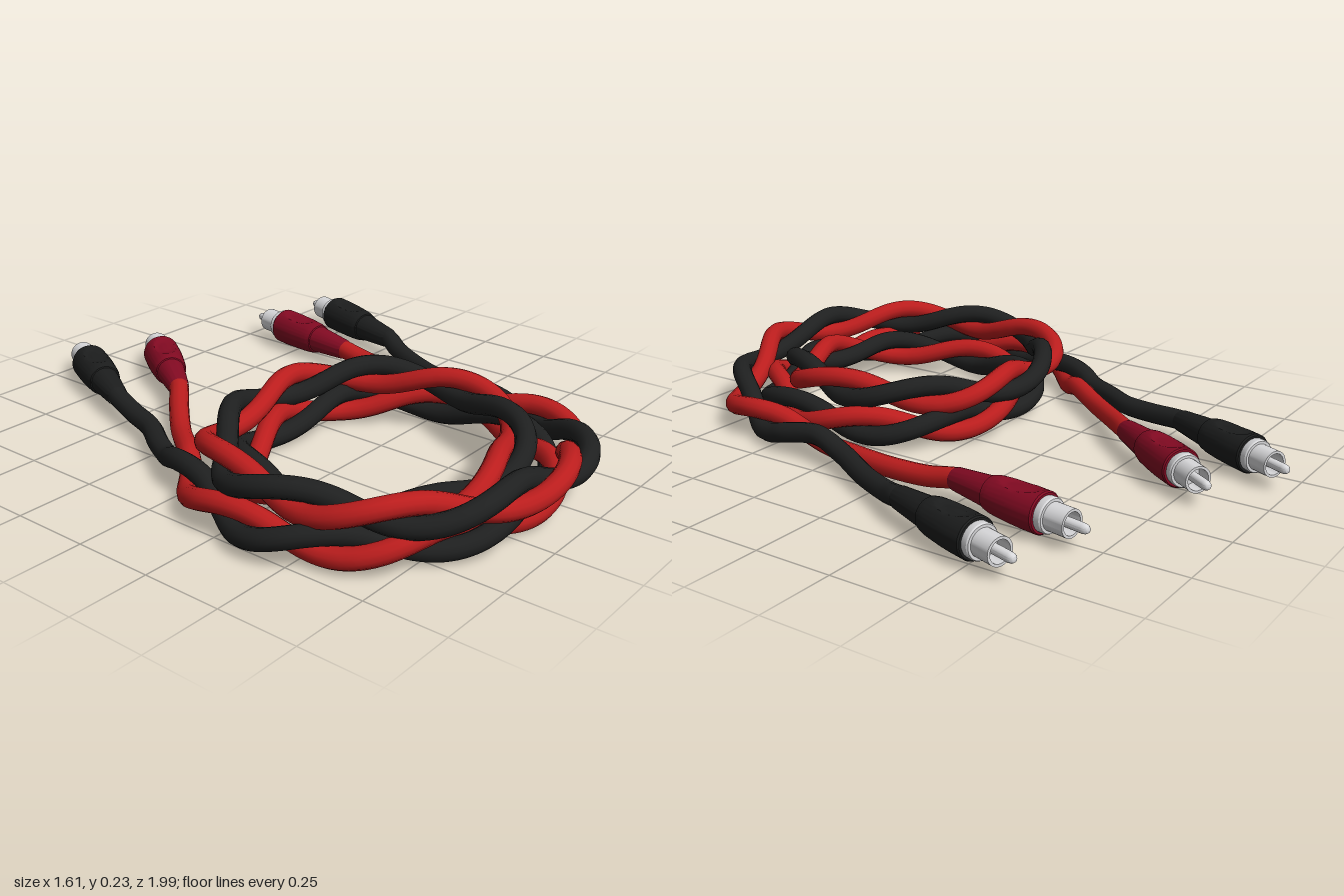
import * as THREE from 'three';
import { toCreasedNormals } from 'three/addons/utils/BufferGeometryUtils.js';

const V = (x, y, z) => new THREE.Vector3(x, y, z);
const material = (name, color) => {
  const m = new THREE.MeshStandardMaterial({ color });
  m.name = name;
  return m;
};

const LOW = 0.06, HIGH = 0.155;       // heights of the two coil layers
const WIRE = 0.032, TWIST = 0.031;    // wire radius and helix radius
const TURNS = 13;

// Centre line of the twisted pair: [x, y, z]
const COIL = [
  [0.395, 0.055, 0.42], [0.37, LOW, 0.6], [0.27, 0.075, 0.76], [0.07, 0.12, 0.88],
  [-0.16, HIGH, 0.93], [-0.42, HIGH, 0.875], [-0.61, HIGH, 0.71], [-0.69, HIGH, 0.45],
  [-0.66, HIGH, 0.22], [-0.53, HIGH, 0.06], [-0.36, HIGH, -0.01], [-0.16, HIGH, -0.035],
  [0.05, HIGH, 0.025], [0.17, HIGH, 0.18], [0.205, HIGH, 0.38], [0.15, 0.15, 0.58],
  [0.02, 0.135, 0.71], [-0.18, 0.11, 0.755], [-0.4, 0.085, 0.7], [-0.53, 0.065, 0.54],
  [-0.565, LOW, 0.36], [-0.5, LOW, 0.16], [-0.37, LOW, 0.04], [-0.16, LOW, 0],
  [0.07, LOW, 0.04], [0.21, LOW, 0.17], [0.27, LOW, 0.38], [0.22, LOW, 0.6],
  [0.07, LOW, 0.79], [-0.16, LOW, 0.87], [-0.42, LOW, 0.82], [-0.63, LOW, 0.67],
  [-0.735, LOW, 0.44], [-0.71, LOW, 0.22], [-0.63, 0.055, 0.05], [-0.53, 0.05, -0.1],
];

// Per wire: loose tails at both ends, and each plug's joint and tip in x, z
const WIRES = [
  {
    name: 'black', phase: 0,
    startTail: [[0.6, 0.045, -0.12], [0.53, 0.037, 0.02], [0.46, 0.05, 0.16], [0.428, 0.075, 0.29]],
    endTail: [[-0.505, 0.045, -0.21], [-0.435, 0.045, -0.32], [-0.4, 0.05, -0.43]],
    plugs: [[0.64, -0.19, 0.785, -0.66], [-0.36, -0.55, -0.14, -1.0]],
  },
  {
    name: 'red', phase: Math.PI,
    startTail: [[0.442, 0.045, -0.14], [0.434, 0.037, 0], [0.415, 0.035, 0.15], [0.39, 0.035, 0.29]],
    endTail: [[-0.39, 0.04, -0.23], [-0.27, 0.05, -0.36]],
    plugs: [[0.445, -0.24, 0.535, -0.725], [-0.18, -0.45, 0.1, -0.86]],
  },
];
const PLUG_Y = 0.062;

// Points of one wire winding round the coil's centre line
function helixPoints(phase) {
  const path = new THREE.CatmullRomCurve3(COIL.map(p => V(...p)), false, 'centripetal');
  path.arcLengthDivisions = 1500;
  const steps = TURNS * 12, points = [];
  for (let i = 0; i <= steps; i++) {
    const t = i / steps, angle = phase - t * TURNS * Math.PI * 2;
    const tangent = path.getTangentAt(t);
    const side = V(0, 1, 0).cross(tangent).normalize();
    const up = tangent.clone().cross(side);
    points.push(path.getPointAt(t)
      .addScaledVector(side, Math.cos(angle) * TWIST)
      .addScaledVector(up, Math.sin(angle) * TWIST));
  }
  return points;
}

function lathe(profile, segments = 32) {
  return new THREE.LatheGeometry(profile.map(([r, y]) => new THREE.Vector2(r, y)), segments);
}

// Sleeve: tapered strain relief, then a barrel with soft finger dents above and below
function sleeveGeometry() {
  const profile = [[0.032, 0], [0.035, 0.01], [0.047, 0.145], [0.051, 0.147], [0.054, 0.16]];
  for (let i = 0; i <= 20; i++) {
    const t = i / 20;
    profile.push([0.056 + 0.006 * Math.sin(Math.PI * Math.min(1, t * 1.2) * 0.6), 0.17 + 0.17 * t]);
  }
  profile.push([0.058, 0.345], [0, 0.345]);
  const geometry = lathe(profile, 64);
  const p = geometry.attributes.position;
  for (let i = 0; i < p.count; i++) {
    const x = p.getX(i), y = p.getY(i), z = p.getZ(i);
    const d = (x / 0.036) ** 2 + ((y - 0.255) / 0.075) ** 2;
    if (d < 1 && Math.abs(z) > 0.03) p.setZ(i, z - Math.sign(z) * 0.01 * Math.min(1, (1 - d) * 1.6));
  }
  return toCreasedNormals(geometry, 0.6);
}

// Metal collar with a hollow contact ring
const contactGeometry = () => toCreasedNormals(lathe([
  [0, 0.34], [0.05, 0.34], [0.052, 0.347], [0.052, 0.365], [0.049, 0.37], [0.041, 0.37],
  [0.041, 0.437], [0.033, 0.437], [0.033, 0.385], [0, 0.385],
]), 0.5);

// Centre pin with a rounded end
const pinGeometry = () => toCreasedNormals(lathe([
  [0.015, 0.38], [0.015, 0.475], [0.013, 0.486], [0.008, 0.493], [0, 0.496],
], 16), 0.7);

export function createModel() {
  const model = new THREE.Group();
  model.name = 'twistedAudioCable';
  const wireMaterials = { black: material('black wire', 0x1f2020), red: material('red wire', 0xbb1d1d) };
  const sleeveMaterials = { black: material('black sleeve', 0x1c1d1d), red: material('dark red sleeve', 0x820a22) };
  const metal = material('silver metal', 0xd8d8da);
  const sleeve = sleeveGeometry(), contact = contactGeometry(), pin = pinGeometry();

  const add = (parent, name, geometry, mat) => {
    const mesh = new THREE.Mesh(geometry, mat);
    mesh.name = name;
    parent.add(mesh);
  };

  for (const wire of WIRES) {
    const inner = [];
    wire.plugs.forEach(([jx, jz, tx, tz], i) => {
      const joint = V(jx, PLUG_Y, jz);
      const dir = V(tx - jx, 0, tz - jz).normalize();
      inner.push([joint, joint.clone().addScaledVector(dir, 0.03)]);

      // Plug, with its axis along local y and its dents facing up and down
      const plug = new THREE.Group();
      plug.name = `${wire.name}Plug${i + 1}`;
      const up = V(0, 1, 0);
      plug.quaternion.setFromRotationMatrix(
        new THREE.Matrix4().makeBasis(dir.clone().cross(up), dir, up));
      plug.position.copy(joint);
      add(plug, 'sleeve', sleeve, sleeveMaterials[wire.name]);
      add(plug, 'contactRing', contact, metal);
      add(plug, 'centrePin', pin, metal);
      model.add(plug);
    });

    // Wire: loose tail, twisted coil, loose tail
    const curve = new THREE.CatmullRomCurve3([
      inner[0][1], inner[0][0], ...wire.startTail.map(p => V(...p)),
      ...helixPoints(wire.phase),
      ...wire.endTail.map(p => V(...p)), inner[1][0], inner[1][1],
    ], false, 'centripetal');
    curve.arcLengthDivisions = 2500;
    add(model, `${wire.name}Wire`, new THREE.TubeGeometry(curve, 600, WIRE, 12, false), wireMaterials[wire.name]);
  }
  return model;
}
